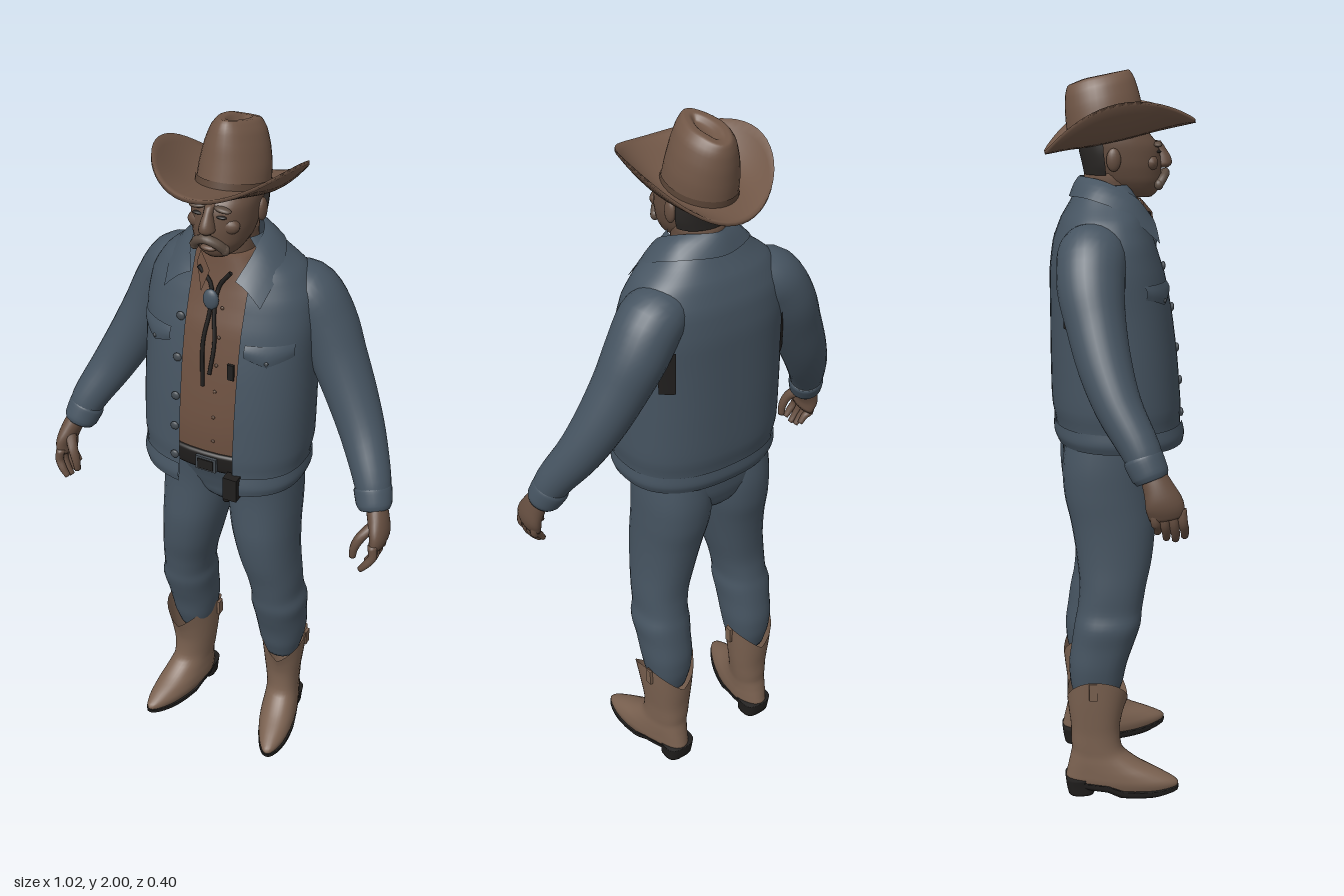
import * as THREE from 'three';
import { mergeVertices } from 'three/addons/utils/BufferGeometryUtils.js';

const V3 = (x, y, z) => new THREE.Vector3(x, y, z);
const mat = (name, color, side = THREE.FrontSide) => {
  const m = new THREE.MeshStandardMaterial({ color, side });
  m.name = name;
  return m;
};
const DS = THREE.DoubleSide;
const M = {
  denim: mat('denim', 0x465461, DS), shirt: mat('shirt brown', 0x6c5040), skin: mat('skin', 0x654e40),
  felt: mat('hat felt', 0x705646), boot: mat('boot leather', 0x7a6150, DS), hair: mat('dark hair', 0x2b2826, DS),
  black: mat('black leather', 0x201e1d, DS), grey: mat('moustache grey', 0x5c4d42), metal: mat('dull metal', 0x434a50),
  band: mat('hat band', 0x5c4638),
};

// Smooth grid surface: fn(i, j) gives the point in row i, column j
function surf(rows, cols, fn) {
  const pos = [], idx = [], w = cols + 1;
  for (let i = 0; i <= rows; i++) for (let j = 0; j <= cols; j++) pos.push(...fn(i, j).toArray());
  for (let i = 0; i < rows; i++) for (let j = 0; j < cols; j++) {
    const a = i * w + j, b = a + 1, c = a + w, d = c + 1;
    idx.push(a, c, b, b, c, d);
  }
  const g = new THREE.BufferGeometry();
  g.setAttribute('position', new THREE.Float32BufferAttribute(pos, 3));
  g.setIndex(idx);
  const merged = mergeVertices(g, 1e-5);
  merged.computeVertexNormals();
  return merged;
}

// Loft through rows [x, y, z, rx, rz], listed bottom to top
function loft(rows, { seg = 28, n = 2, follow = false, arc = () => [0, Math.PI * 2], warp, cap = true } = {}) {
  const C = new THREE.CatmullRomCurve3(rows.map(r => V3(r[0], r[1], r[2])));
  const R = new THREE.CatmullRomCurve3(rows.map(r => V3(r[3], r[4], 0)));
  const steps = (rows.length - 1) * 4, e = cap ? 1 : 0;
  const pw = c => Math.sign(c) * Math.abs(c) ** (2 / n);
  return surf(steps + 2 * e, seg, (i, j) => {
    const v = Math.min(1, Math.max(0, (i - e) / steps));
    const end = cap && (i === 0 || i === steps + 2);
    const c = C.getPoint(v), r = R.getPoint(v);
    const [a, b] = arc(r.x), t = a + (b - a) * (j === seg && b - a > 6.28 ? 0 : j / seg);
    let U = V3(1, 0, 0), W = V3(0, 0, 1);
    if (follow) {
      const T = C.getTangent(v);
      W.addScaledVector(T, -T.z).normalize();
      U = T.cross(W);
    }
    if (!end) c.addScaledVector(U, r.x * pw(Math.cos(t))).addScaledVector(W, r.y * pw(Math.sin(t)));
    if (warp) warp(c, t, v);
    return c;
  });
}
// Row from centre x, height, half width, front z and back z
const row = (x, y, rx, zf, zb) => [x, y, (zf + zb) / 2, rx, (zf - zb) / 2];

// Front surface depth of a lofted body at x, y
function frontZ(rows, n, x, y) {
  let i = 0;
  while (i < rows.length - 2 && rows[i + 1][1] < y) i++;
  const [p, q] = [rows[i], rows[i + 1]], k = (y - p[1]) / (q[1] - p[1]);
  const at = m => p[m] + (q[m] - p[m]) * k;
  return at(2) + at(4) * Math.max(0, 1 - Math.abs(x / at(3)) ** n) ** (1 / n);
}

// Collar between a neck edge and a fall edge, given as left halves ending at the back
function collar(top, fall) {
  const curve = h => new THREE.CatmullRomCurve3(
    [...h, ...h.slice(0, -1).reverse().map(p => [-p[0], p[1], p[2]])].map(p => V3(...p)));
  const A = curve(top), B = curve(fall);
  return surf(4, 32, (i, j) => {
    const p = A.getPoint(j / 32).lerp(B.getPoint(j / 32), i / 4);
    p.y += 0.008 * Math.sin(i / 4 * Math.PI);
    return p;
  });
}

export function createModel() {
  const model = new THREE.Group();
  model.name = 'rancher';
  const add = (name, geo, m, parent = model) => {
    const mesh = new THREE.Mesh(geo, m);
    mesh.name = name;
    parent.add(mesh);
    return mesh;
  };
  const ball = (name, m, x, y, z, sx, sy, sz) => {
    const b = add(name, new THREE.SphereGeometry(1, 16, 12), m);
    b.position.set(x, y, z);
    b.scale.set(sx, sy, sz);
    return b;
  };
  const box = (name, m, x, y, z, w, h, d) => add(name, new THREE.BoxGeometry(w, h, d), m).position.set(x, y, z);
  const tube = (name, m, pts, r) =>
    add(name, new THREE.TubeGeometry(new THREE.CatmullRomCurve3(pts.map(p => V3(...p))), 20, r, 8), m);

  // Open jacket over the shirt
  const n = 2.4, jacket = [row(0, 1.03, .228, .172, -.175), row(0, 1.07, .228, .165, -.178), row(0, 1.13, .236, .165, -.188),
    row(0, 1.25, .236, .155, -.19), row(0, 1.38, .234, .138, -.19), row(0, 1.48, .235, .118, -.19),
    row(0, 1.56, .225, .092, -.18), row(0, 1.62, .19, .07, -.158), row(0, 1.66, .14, .055, -.135), row(0, 1.71, .082, .035, -.108)];
  const shirt = [row(0, 1.06, .19, .135, -.14), row(0, 1.2, .195, .14, -.15), row(0, 1.38, .195, .118, -.15),
    row(0, 1.48, .19, .098, -.15), row(0, 1.56, .16, .074, -.14), row(0, 1.62, .11, .06, -.12), row(0, 1.67, .07, .052, -.1)];
  const edge = (w, rx) => Math.acos(Math.min(.8, w / rx) ** (n / 2));
  const arc = rx => [Math.PI - edge(.065, rx), edge(.09, rx) + Math.PI * 2];
  add('jacket', loft(jacket, { seg: 56, n, arc, cap: false }), M.denim);
  add('jacketHem', loft([row(0, 1.02, .226, .174, -.174), row(0, 1.045, .234, .176, -.183), row(0, 1.075, .231, .169, -.182)],
    { seg: 56, n, arc, cap: false }), M.denim);
  add('shirt', loft(shirt, { seg: 40, n }), M.shirt);
  add('jacketCollar', collar([[.062, 1.62, .085], [.085, 1.68, .035], [.078, 1.72, -.045], [0, 1.73, -.108]],
    [[.135, 1.565, .095], [.15, 1.645, .0], [.115, 1.678, -.09], [0, 1.677, -.136]]), M.denim);
  for (const s of [-1, 1]) {
    const point = surf(4, 1, (i, j) => {
      const k = i / 4;
      return j ? V3(s * (.03 + .025 * k), 1.575 + .065 * k, .093 - .03 * k) : V3(s * (.008 + .04 * k), 1.635 + .035 * k, .086 - .03 * k);
    });
    add('shirtCollarPoint', point, M.shirt);
    // Pocket flaps with a pointed lower edge
    const flap = surf(4, 10, (i, j) => {
      const x = .105 + .11 * j / 10, y = 1.465 - i / 4 * (.035 + .022 * (1 - Math.abs(j / 5 - 1)));
      return V3(s * x, y, frontZ(jacket, n, x, y) + .004 + .006 * Math.sin(i / 4 * Math.PI));
    });
    add('pocketFlap', flap, M.denim);
    ball('pocketButton', M.metal, s * .16, 1.42, frontZ(jacket, n, .16, 1.42) + .007, .006, .006, .004);
    // Dark underarm vents at the back
    const a = s > 0 ? -.85 : Math.PI + .6;
    add('underarmVent', loft([row(0, 1.35, .238, .142, -.194), row(0, 1.41, .238, .135, -.194), row(0, 1.47, .238, .122, -.194)],
      { n, seg: 6, arc: () => [a, a + .25], cap: false }), M.black);
  }
  for (const y of [1.1, 1.19, 1.28, 1.39, 1.5])
    ball('jacketButton', M.metal, -.08, y, frontZ(jacket, n, .08, y) + .003, .012, .012, .006);
  for (let y = 1.16; y < 1.55; y += .075)
    ball('shirtButton', M.band, .025, y, frontZ(shirt, n, .025, y) + .002, .005, .005, .003);
  box('shirtClip', M.black, .066, 1.375, frontZ(shirt, n, .066, 1.375) + .003, .018, .045, .008);

  // Bolo tie
  const sz = y => frontZ(shirt, n, .01, y) + .006;
  ball('tieStone', M.denim, -.005, 1.555, sz(1.555) + .006, .022, .029, .012);
  for (const s of [-1, 1]) tube('tieCord', M.black, [[s * .045, 1.635, .075], [s * .012, 1.59, sz(1.59)], [s * .006, 1.53, sz(1.53)],
    [s * .016, 1.44, sz(1.44)], [s * .01, 1.34 + s * .02, sz(1.34)]], .0055);

  // Trousers and belt
  add('trouserSeat', loft([row(0, .885, .035, .03, -.1), row(0, .92, .09, .062, -.14), row(0, .97, .185, .078, -.158),
    row(0, 1.03, .202, .1, -.162), row(0, 1.09, .195, .125, -.155)], { n: 2.3, seg: 36 }), M.denim);
  add('crotchGusset', loft([row(0, .862, .02, .02, -.08), row(0, .89, .034, .022, -.095)], { seg: 16 }), M.black);
  add('belt', loft([row(0, 1.06, .202, .137, -.162), row(0, 1.07, .205, .143, -.165), row(0, 1.112, .205, .148, -.165),
    row(0, 1.122, .2, .142, -.162)], { n, seg: 40 }), M.black);
  box('beltBuckle', M.metal, .01, 1.09, .15, .06, .042, .012);
  box('bucklePlate', M.black, .01, 1.09, .155, .046, .03, .008);
  box('beltPouch', M.black, .092, 1.045, .162, .04, .07, .03);

  for (const s of [-1, 1]) {
    const side = rows => rows.map(r => [s * r[0], ...r.slice(1)]);
    // Leg, tucked into the boot
    add('trouserLeg', loft(side([row(.15, .28, .05, -.025, -.135), row(.15, .34, .065, -.003, -.15), row(.15, .4, .073, .01, -.153),
      row(.15, .46, .075, .03, -.145), row(.15, .515, .08, .047, -.137), row(.146, .56, .073, .052, -.128), row(.14, .62, .077, .062, -.122),
      row(.126, .7, .084, .08, -.128), row(.112, .8, .093, .09, -.143), row(.104, .88, .1, .086, -.16), row(.1, .96, .103, .083, -.164),
      row(.097, 1.06, .1, .09, -.15)]), { n: 2.2 }), M.denim);

    // Boot with splayed tapered toe and a dipped top edge
    const splay = p => {
      const k = THREE.MathUtils.clamp((p.z + .02) / .18, 0, 1), x = s * .155;
      p.x = x + (p.x - x) * (1 - .35 * k * k) + s * .2 * Math.max(0, p.z + .1);
    };
    add('boot', loft(side([row(.155, .022, .05, .145, -.158), row(.155, .045, .056, .152, -.165), row(.155, .07, .056, .11, -.162),
      row(.155, .1, .053, .045, -.155), row(.153, .14, .052, -.005, -.148), row(.15, .2, .057, -.012, -.15),
      row(.15, .27, .067, -.003, -.156), row(.15, .325, .074, .01, -.16)]), { n: 2.2, cap: false, seg: 36, warp: (p, t, v) => {
      splay(p);
      p.y += THREE.MathUtils.clamp((v - .75) * 4, 0, 1) * (.075 * Math.abs(Math.cos(t)) - .033);
    } }), M.boot);
    add('bootSole', loft(side([row(.155, .004, .048, .125, -.15), row(.155, .014, .056, .152, -.16), row(.155, .028, .057, .154, -.165)]),
      { n: 2.3, warp: p => { splay(p); p.y += p.z < -.02 ? .014 : Math.max(0, p.z - .09) * .12; } }), M.black);
    add('bootHeel', loft(side([row(.153, 0, .044, -.085, -.16), row(.153, .025, .045, -.085, -.165), row(.153, .05, .048, -.08, -.168)]),
      { n: 3 }), M.black);
    for (const o of [-1, 1]) box('bootStrap', M.boot, s * .15 + o * .075, .338, -.09, .009, .05, .022);

    // Sleeve and cuff
    add('sleeve', loft(side([[.453, 1.035, .042, .042, .042], [.436, 1.09, .022, .05, .05], [.382, 1.19, -.03, .061, .06],
      [.333, 1.28, -.06, .068, .069], [.28, 1.38, -.08, .075, .077], [.237, 1.465, -.09, .081, .087],
      [.19, 1.535, -.085, .083, .09], [.12, 1.575, -.07, .055, .07]]), { follow: true }), M.denim);
    add('cuff', loft(side([[.457, 1.022, .048, .041, .041], [.453, 1.035, .043, .048, .048], [.441, 1.07, .028, .051, .051],
      [.437, 1.08, .024, .047, .047]]), { follow: true }), M.denim);

    // Hand, fingers and thumb
    add('palm', loft(side([[.482, .932, .082, .018, .044], [.486, .965, .076, .024, .048], [.475, 1.005, .062, .027, .039],
      [.458, 1.045, .044, .028, .031]]), { follow: true }), M.skin);
    [.118, .095, .072, .05].forEach((z, i) => {
      const d = [.008, 0, .004, .02][i];
      add('finger', loft(side([[.458, .866 + d, z + .012, .008, .009], [.474, .888 + d, z + .01, .011, .0115],
        [.487, .92, z + .004, .012, .0125], [.483, .955, z, .013, .013]]), { follow: true, seg: 10 }), M.skin);
    });
    add('thumb', loft(side([[.43, .9, .118, .009, .01], [.433, .932, .118, .012, .013], [.446, .965, .11, .014, .015],
      [.47, .995, .08, .015, .019]]), { follow: true, seg: 10 }), M.skin);

    // Paired face details
    ball('ear', M.skin, s * .083, 1.775, -.022, .011, .03, .019);
    ball('eye', M.hair, s * .032, 1.793, .1, .014, .004, .007);
    ball('eyebrow', M.grey, s * .034, 1.812, .097, .023, .007, .012).rotation.z = s * -.12;
    ball('cheek', M.skin, s * .04, 1.765, .078, .03, .022, .02);
  }

  // Neck and head
  add('neck', loft([row(0, 1.58, .07, .045, -.1), row(0, 1.65, .066, .05, -.095), row(0, 1.74, .068, .045, -.095)]), M.skin);
  add('head', loft([row(0, 1.675, .03, .085, .02), row(0, 1.69, .052, .1, -.03), row(0, 1.72, .07, .11, -.07), row(0, 1.76, .08, .11, -.09),
    row(0, 1.805, .083, .103, -.103), row(0, 1.84, .079, .078, -.106), row(0, 1.88, .055, .04, -.09)], { n: 2.2 }), M.skin);
  add('nose', loft([row(0, 1.75, .012, .127, .09), row(0, 1.76, .021, .138, .09), row(0, 1.775, .018, .137, .09),
    row(0, 1.8, .012, .122, .09), row(0, 1.82, .012, .108, .08)], { seg: 14 }), M.skin);
  add('backHair', loft([row(0, 1.735, .077, .02, -.095), row(0, 1.76, .084, .02, -.1), row(0, 1.8, .087, .02, -.109), row(0, 1.85, .084, .02, -.112)],
    { arc: () => [Math.PI * 1.02, Math.PI * 1.98], cap: false }), M.hair);
  const stache = [[-.042, 1.708, .1], [-.026, 1.728, .114], [0, 1.738, .121], [.026, 1.728, .114], [.042, 1.708, .1]];
  tube('moustache', M.grey, stache, .012);
  for (const p of [stache[0], stache[4]]) ball('moustacheTip', M.grey, ...p, .012, .014, .012);
  ball('lowerLip', M.skin, 0, 1.71, .108, .022, .008, .012);

  // Hat, tipped back, with rolled brim and creased crown
  const hat = new THREE.Group();
  hat.name = 'hat';
  hat.position.y = 1.83;
  hat.rotation.x = -.2;
  model.add(hat);
  add('hatBrim', surf(17, 56, (i, j) => {
    const under = i < 9, k = (under ? i : 17 - i) / 8, t = j % 56 / 56 * Math.PI * 2, c = Math.cos(t), s = Math.sin(t);
    return V3(c * (.08 + .108 * k), .085 * k * k * c * c + (under ? -.005 : .005), -.03 * (1 - k) + s * (.095 + .108 * k));
  }), M.felt, hat);
  const pinch = (p, t, v) => {
    const f = THREE.MathUtils.clamp((p.z + .03) / .1, 0, 1);
    p.x *= 1 - .35 * f * v;
    p.y -= .02 * v * THREE.MathUtils.clamp((-p.z - .06) / .08, 0, 1);
  };
  add('hatCrown', loft([[0, -.005, -.03, .09, .107], [0, .05, -.03, .088, .104], [0, .1, -.028, .079, .1], [0, .14, -.026, .065, .093],
    [0, .163, -.025, .043, .08], [0, .162, -.025, .027, .06], [0, .148, -.025, .012, .04]], { warp: pinch, seg: 36 }), M.felt, hat);
  add('hatBand', loft([[0, .004, -.03, .092, .109], [0, .022, -.03, .0915, .108]], { cap: false, seg: 36 }), M.band, hat);
  return model;
}
